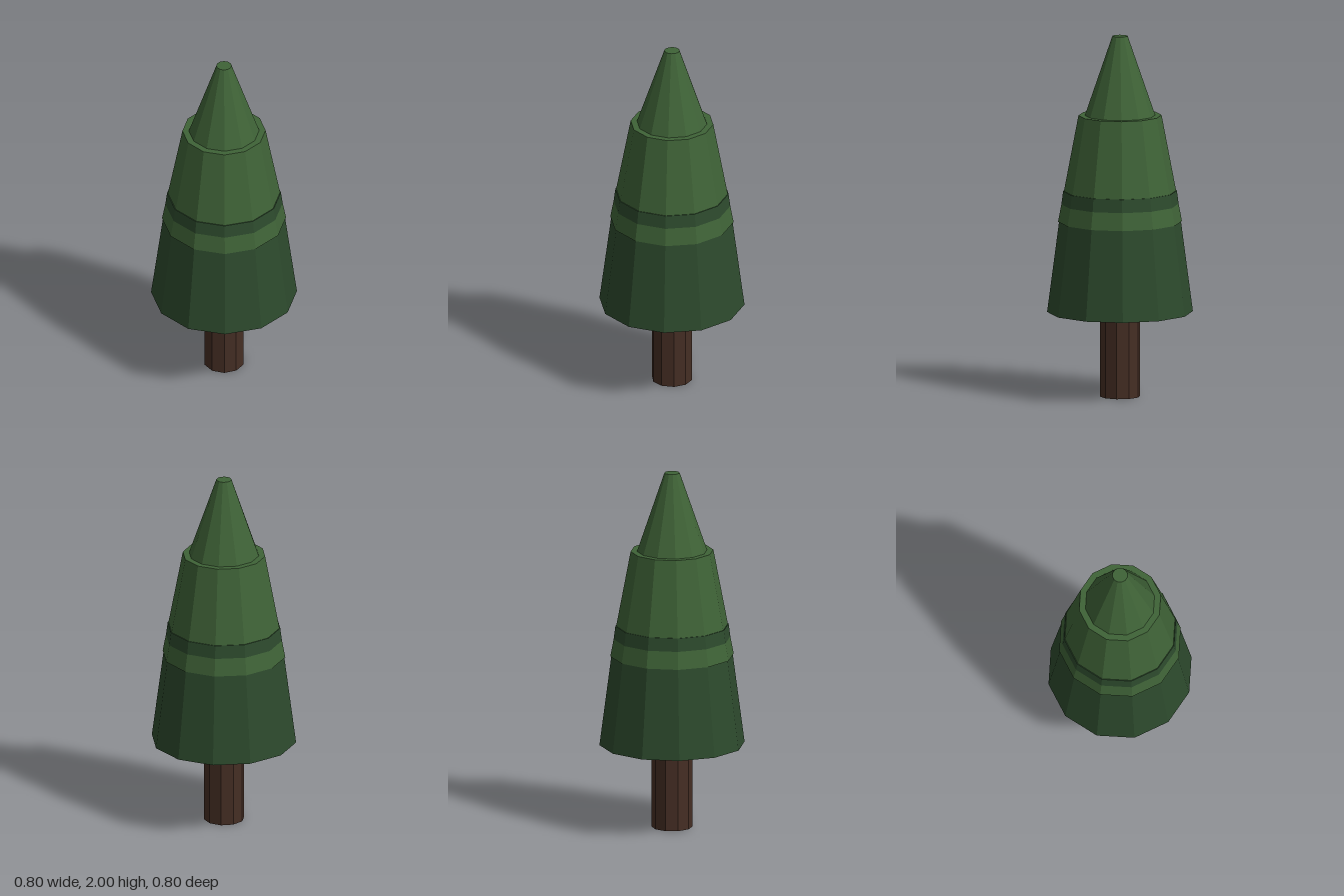
import * as THREE from 'three';

const material = (name, color) => {
  const m = new THREE.MeshStandardMaterial({ color, flatShading: true });
  m.name = name;
  return m;
};

export function createModel() {
  const tree = new THREE.Group();
  tree.name = 'pineTree';

  const bark = material('barkBrown', 0x452e24);
  const darkGreen = material('darkGreen', 0x2d4a2d);
  const lightGreen = material('lightGreen', 0x3f6337);

  // Capped, faceted frustum standing between two heights
  const addFrustum = (name, mat, sides, y0, r0, y1, r1) => {
    const geometry = new THREE.CylinderGeometry(r1, r0, y1 - y0, sides);
    const mesh = new THREE.Mesh(geometry, mat);
    mesh.name = name;
    mesh.position.y = (y0 + y1) / 2;
    tree.add(mesh);
  };

  addFrustum('trunk', bark, 10, 0, 0.112, 0.52, 0.112);

  // Overlapping tiers of foliage, from the bottom up
  addFrustum('lowerFoliage', darkGreen, 12, 0.47, 0.4, 1.14, 0.312);
  addFrustum('middleFoliage', lightGreen, 12, 0.97, 0.34, 1.56, 0.228);
  addFrustum('upperFoliage', lightGreen, 12, 1.47, 0.224, 2, 0.042);

  return tree;
}
